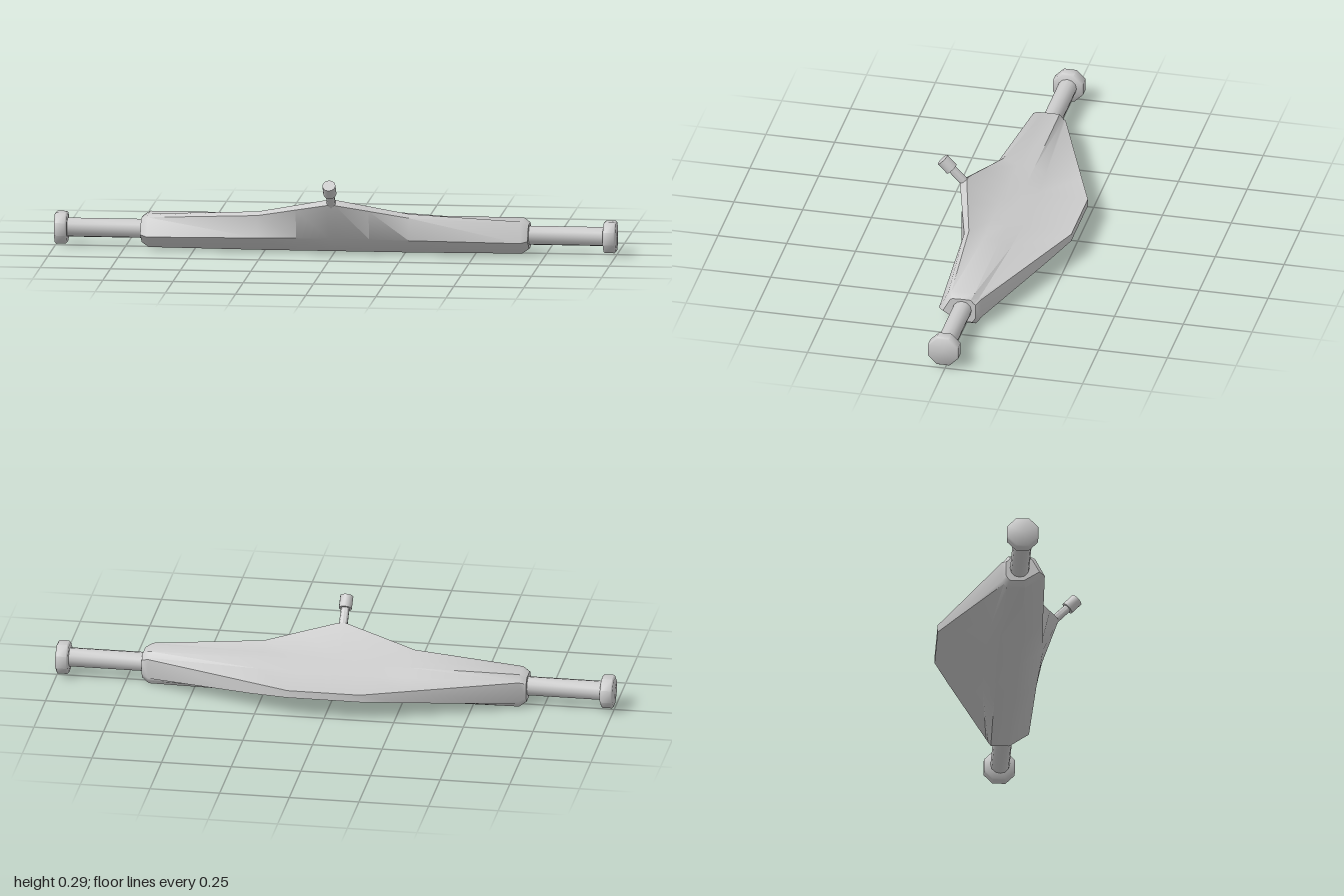
import * as THREE from 'three';
import { toCreasedNormals } from 'three/addons/utils/BufferGeometryUtils.js';

const material = new THREE.MeshStandardMaterial({ color: 0xcccccc });
const AXLE_Y = 0.066, AXLE_Z = 0.01;

// Half of the hanger as [x, section]; each section is a loop of [z, y] points:
// underside, tail, top, raised nose and front.
const centre = [[0.03, 0], [-0.04, 0], [-0.09, 0.025], [-0.257, 0.073], [-0.257, 0.1], [-0.08, 0.1],
  [-0.03, 0.123], [0.03, 0.123], [0.15, 0.203], [0.175, 0.187], [0.12, 0.06]];
const shoulder = [[0.03, 0], [-0.04, 0], [-0.08, 0.022], [-0.203, 0.058], [-0.203, 0.1], [-0.07, 0.1],
  [-0.03, 0.123], [0.03, 0.123], [0.083, 0.146], [0.1, 0.134], [0.11, 0.055]];
const end = [[0.03, 0.003], [-0.035, 0.003], [-0.045, 0.016], [-0.052, 0.028], [-0.052, 0.1], [-0.045, 0.104],
  [-0.03, 0.123], [0.03, 0.123], [0.055, 0.121], [0.066, 0.115], [0.1, 0.05]];

const mix = (a, b, t) => a.map((p, i) => [p[0] + (b[i][0] - p[0]) * t, p[1] + (b[i][1] - p[1]) * t]);
const tailCorner = mix(centre, shoulder, 0.45).map((p, i) => (i === 3 || i === 4 ? centre[i] : p));
const chamfer = end.map(([z, y]) => [AXLE_Z + (z - AXLE_Z) * 0.78, AXLE_Y + (y - AXLE_Y) * 0.74]);

function hangerGeometry() {
  const half = [[0.014, centre], [0.13, tailCorner], [0.27, shoulder], [0.665, end], [0.69, chamfer]];
  const stations = [...half.map(([x, s]) => [-x, s]).reverse(), ...half];
  const n = centre.length, last = stations.length - 1;
  const positions = [], index = [];
  stations.forEach(([x, s]) => s.forEach(([z, y]) => positions.push(x, y, z)));
  for (let s = 0; s < last; s++) {
    for (let i = 0; i < n; i++) {
      const j = (i + 1) % n;
      const a = s * n + i, b = s * n + j;
      index.push(a, b, b + n, a, b + n, a + n);
    }
  }
  // Flat end caps around the axle
  const first = positions.length / 3;
  positions.push(-0.69, AXLE_Y, AXLE_Z, 0.69, AXLE_Y, AXLE_Z);
  for (let i = 0; i < n; i++) {
    const j = (i + 1) % n;
    index.push(first, j, i, first + 1, last * n + i, last * n + j);
  }
  const geometry = new THREE.BufferGeometry();
  geometry.setAttribute('position', new THREE.Float32BufferAttribute(positions, 3));
  geometry.setIndex(index);
  return toCreasedNormals(geometry, 0.75);
}

// Cylinder between two points
function rod(name, from, to, r0, r1, sides) {
  const a = new THREE.Vector3(...from), b = new THREE.Vector3(...to);
  const geometry = toCreasedNormals(new THREE.CylinderGeometry(r1, r0, a.distanceTo(b), sides), 0.9);
  const mesh = new THREE.Mesh(geometry, material);
  mesh.name = name;
  mesh.position.copy(a).add(b).multiplyScalar(0.5);
  mesh.quaternion.setFromUnitVectors(new THREE.Vector3(0, 1, 0), b.sub(a).normalize());
  return mesh;
}

// Eight-sided nut lying along x, flats level
function axleNut(name, side) {
  const r = 0.0595;
  const profile = [[0, 0], [0.054, 0], [r, 0.006], [r, 0.04], [0.054, 0.045], [0, 0.045]];
  const geometry = new THREE.LatheGeometry(profile.map(([x, y]) => new THREE.Vector2(x, y)), 8);
  geometry.rotateY(Math.PI / 8);
  geometry.rotateZ(-side * Math.PI / 2);
  const mesh = new THREE.Mesh(toCreasedNormals(geometry, 0.9), material);
  mesh.name = name;
  mesh.position.set(side * 0.955, 0.065, 0.008);
  return mesh;
}

export function createModel() {
  const group = new THREE.Group();
  group.name = 'axleAssembly';

  const hanger = new THREE.Mesh(hangerGeometry(), material);
  hanger.name = 'hanger';
  group.add(hanger);

  // Axle stubs and nuts on both sides
  for (const side of [1, -1]) {
    const label = side > 0 ? 'left' : 'right';
    group.add(rod(label + 'Axle', [side * 0.66, AXLE_Y, AXLE_Z], [side * 0.97, AXLE_Y, AXLE_Z], 0.034, 0.034, 12));
    group.add(axleNut(label + 'AxleNut', side));
  }

  // Pivot pin leaning forward from the nose
  group.add(rod('pivotNeck', [0, 0.182, 0.154], [0, 0.24, 0.212], 0.016, 0.015, 10));
  group.add(rod('pivotTip', [0, 0.235, 0.208], [0, 0.269, 0.241], 0.0235, 0.0235, 12));
  return group;
}
